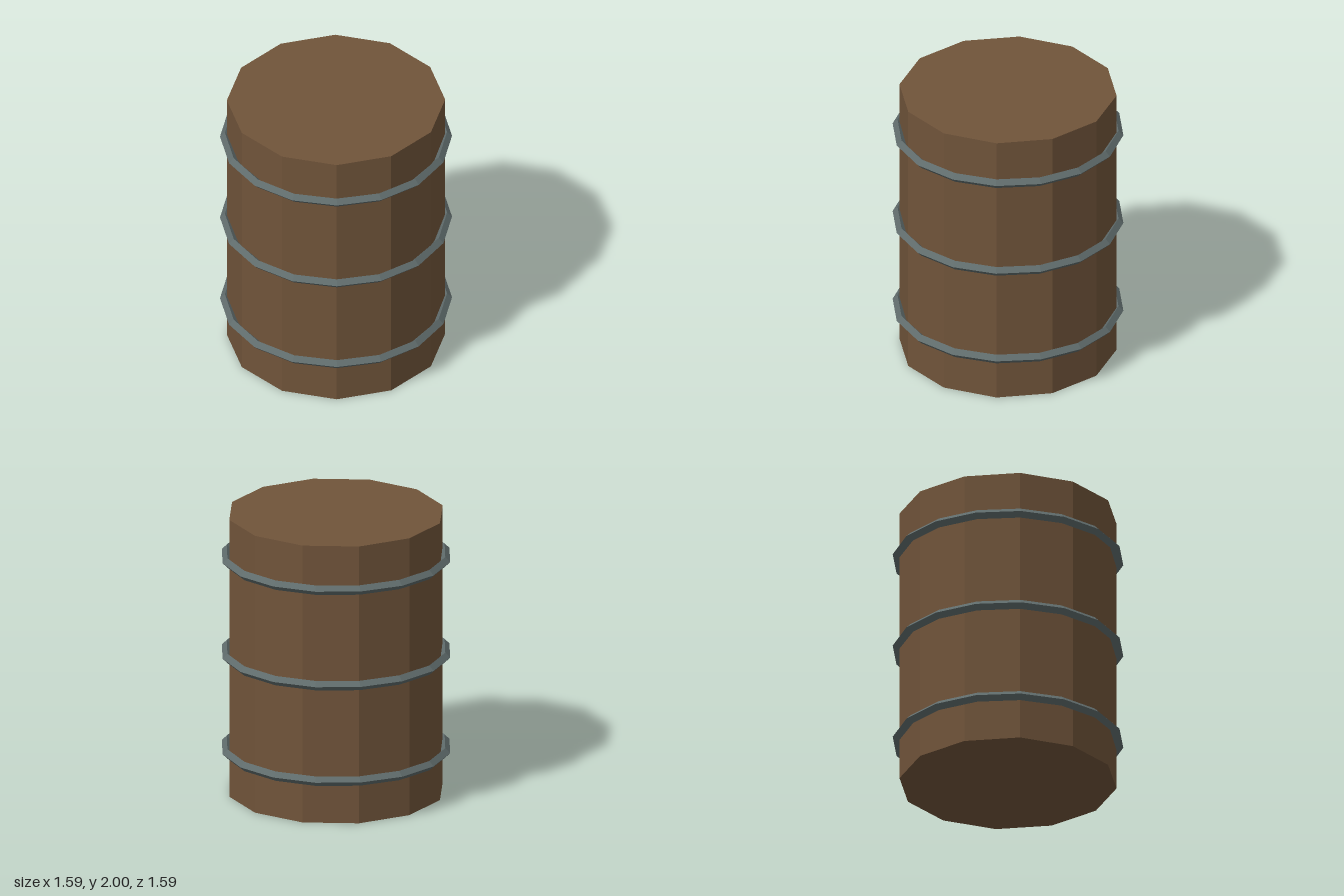
import * as THREE from 'three';

export function createModel() {
  const wood = new THREE.MeshStandardMaterial({ color: 0x70543a, flatShading: true });
  wood.name = 'brown wood';
  const iron = new THREE.MeshStandardMaterial({ color: 0x5f6b6b, flatShading: true });
  iron.name = 'grey iron';

  const barrel = new THREE.Group();
  barrel.name = 'barrel';

  // Twelve-sided wooden body with closed ends
  const body = new THREE.Mesh(new THREE.CylinderGeometry(0.748, 0.748, 2, 12), wood);
  body.name = 'body';
  body.position.y = 1;
  barrel.add(body);

  // Three iron hoops with a diamond cross-section
  const hoopGeometry = new THREE.TorusGeometry(0.761, 0.034, 4, 16).rotateX(Math.PI / 2);
  ['lowerHoop', 'middleHoop', 'upperHoop'].forEach((name, i) => {
    const hoop = new THREE.Mesh(hoopGeometry, iron);
    hoop.name = name;
    hoop.position.y = 1 + (i - 1) * 0.69;
    barrel.add(hoop);
  });

  return barrel;
}
